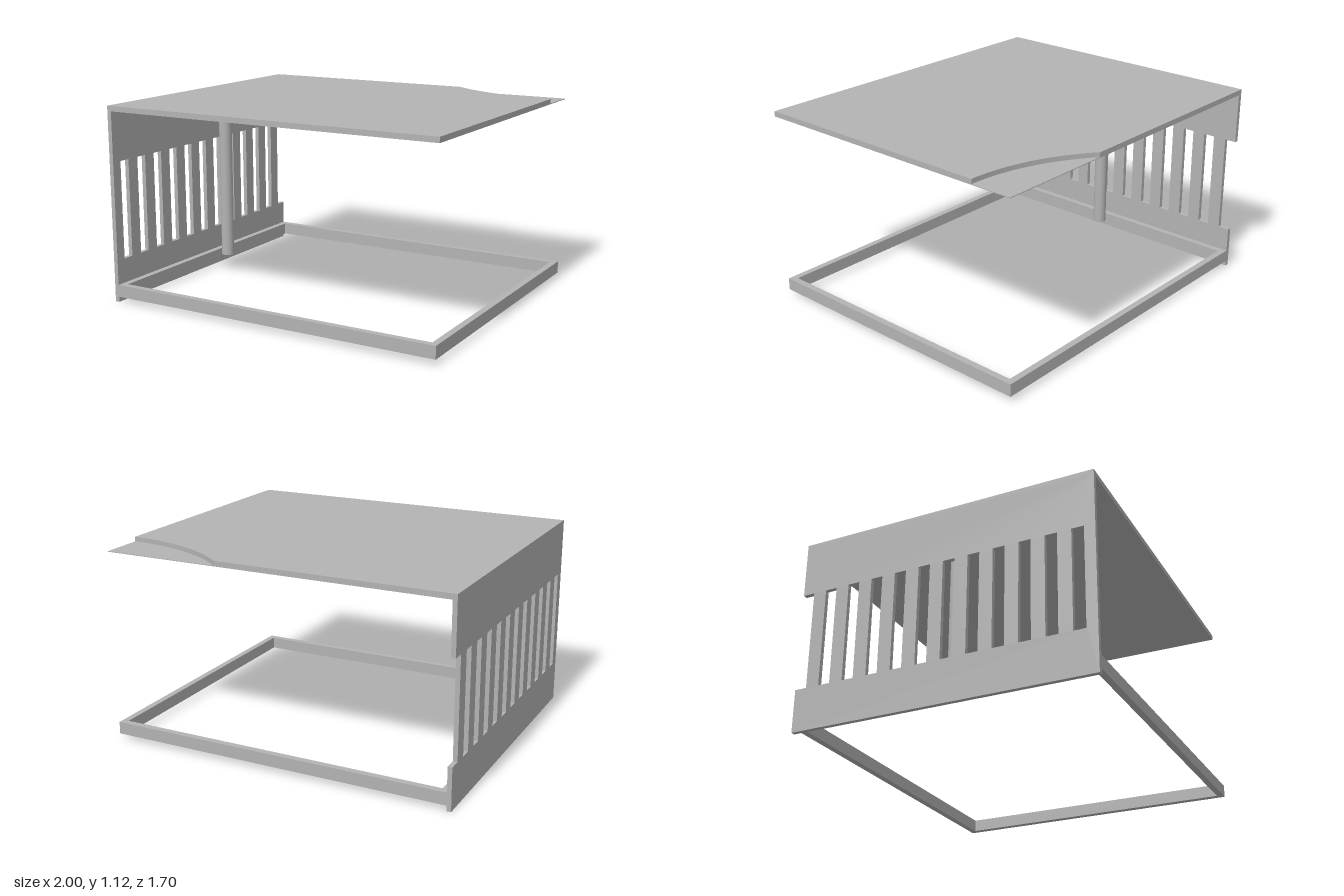
import * as THREE from 'three';

const grey = new THREE.MeshStandardMaterial({ color: 0xb3b3b3 });
grey.name = 'plain grey';

const HALF_Z = 0.85;
const ROOF_Y = 1.085;

function addMesh(group, name, geometry) {
  const mesh = new THREE.Mesh(geometry, grey);
  mesh.name = name;
  group.add(mesh);
  return mesh;
}

const polygon = (pts) => new THREE.Shape(pts.map(([x, y]) => new THREE.Vector2(x, y)));
const rectangle = (x0, y0, x1, y1) => polygon([[x0, y0], [x1, y0], [x1, y1], [x0, y1]]);
const extrude = (shape, depth) =>
  new THREE.ExtrudeGeometry(shape, { depth, bevelEnabled: false, curveSegments: 32 });

// Extrudes a plan shape (x, -z) upwards from height y
const slab = (shape, y, height) => extrude(shape, height).rotateX(-Math.PI / 2).translate(0, y, 0);

export function createModel() {
  const model = new THREE.Group();
  model.name = 'shelter';

  // Roof: thin full sheet, with a thicker layer cut by an arc at one back corner
  const sheet = 0.004;
  addMesh(model, 'roofSheet', slab(rectangle(-1, -HALF_Z, 1, HALF_Z), ROOF_Y, sheet));
  const layer = polygon([[-1, -HALF_Z], [1, -HALF_Z], [1, 0.61]]);
  layer.absarc(1, 1.665, 1.055, -Math.PI / 2, Math.atan2(-0.815, -0.67), true);
  layer.lineTo(-1, HALF_Z);
  addMesh(model, 'roofLayer', slab(layer, ROOF_Y + sheet, 0.026));

  // Side wall: eleven slots, and a twelfth that opens through the back edge
  const slotLow = 0.24, slotHigh = 0.8, slotWidth = 0.067, pitch = 0.143, firstSlot = 0.79;
  const notch = firstSlot - 11 * pitch;
  const wall = polygon([
    [-HALF_Z, 0], [HALF_Z, 0], [HALF_Z, ROOF_Y], [-HALF_Z, ROOF_Y],
    [-HALF_Z, slotHigh], [notch, slotHigh], [notch, slotLow], [-HALF_Z, slotLow],
  ]);
  for (let i = 0; i < 11; i++) {
    const z = firstSlot - i * pitch;
    wall.holes.push(rectangle(z - slotWidth, slotLow, z, slotHigh));
  }
  addMesh(model, 'slottedWall', extrude(wall, 0.025).rotateY(-Math.PI / 2).translate(-0.975, 0, 0));

  // Floor frame
  const t = 0.037;
  const frame = rectangle(-0.975, -HALF_Z, 1, HALF_Z);
  frame.holes.push(rectangle(-0.975 + t, -HALF_Z + t, 1 - t, HALF_Z - t));
  addMesh(model, 'floorFrame', slab(frame, 0.03, 0.07));

  // Hollow post beside the wall; repeated profile corners keep the rims sharp
  const outer = 0.038, inner = 0.018, low = 0.1, high = 1.075;
  const ring = [[inner, low], [outer, low], [outer, high], [inner, high], [inner, low]];
  const post = new THREE.Group();
  post.name = 'post';
  ['postBottomRim', 'postOutside', 'postTopRim', 'postInside'].forEach((name, i) => {
    const pair = [ring[i], ring[i + 1]].map(([r, y]) => new THREE.Vector2(r, y));
    addMesh(post, name, new THREE.LatheGeometry(pair, 32));
  });
  post.position.set(-0.828, 0, 0.002);
  model.add(post);

  return model;
}
